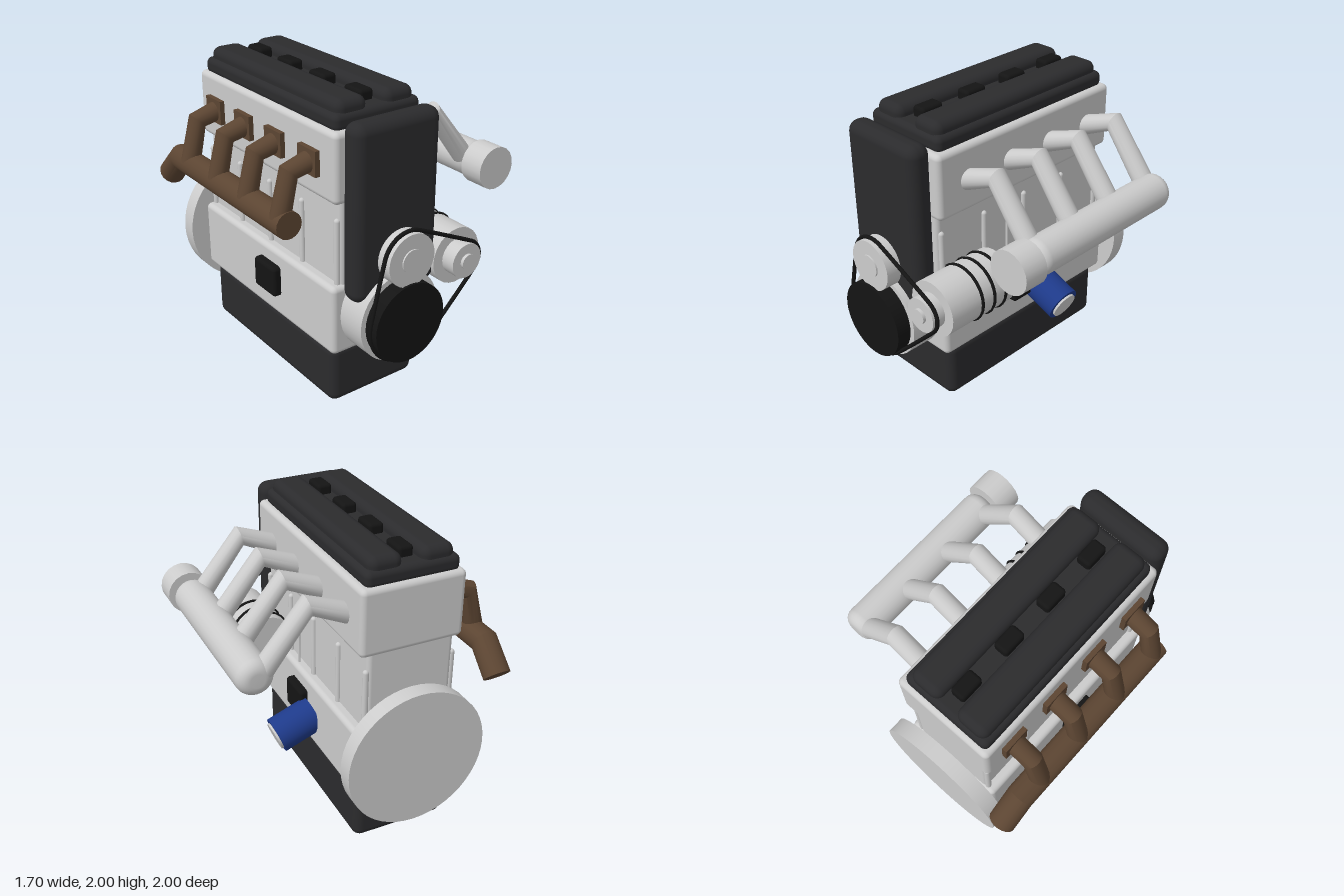
import * as THREE from 'three';
import { RoundedBoxGeometry } from 'three/addons/geometries/RoundedBoxGeometry.js';
import { toCreasedNormals } from 'three/addons/utils/BufferGeometryUtils.js';

const mat = (color) => new THREE.MeshStandardMaterial({ color });
const metal = mat(0xcccccc), dark = mat(0x2b2b2d), black = mat(0x141414);
const brown = mat(0x5c4532), blue = mat(0x1e3a8a);
const V = (x, y, z) => new THREE.Vector3(x, y, z);
const CX = -0.22; // centre line of the block
const CYLINDERS = [-0.61, -0.255, 0.1, 0.46];

export function createModel() {
  const model = new THREE.Group();
  model.name = 'engine';

  const add = (name, geometry, material, x = 0, y = 0, z = 0) => {
    const mesh = new THREE.Mesh(geometry, material);
    mesh.name = name;
    mesh.position.set(x, y, z);
    model.add(mesh);
    return mesh;
  };
  // Rounded box given by its limits on each axis
  const box = (name, [x0, x1], [y0, y1], [z0, z1], r, material) =>
    add(name, new RoundedBoxGeometry(x1 - x0, y1 - y0, z1 - z0, 3, r), material,
      (x0 + x1) / 2, (y0 + y1) / 2, (z0 + z1) / 2);
  // Disc or drum lying along z
  const drum = (name, x, y, r, z0, z1, material, sides = 32) =>
    add(name, new THREE.CylinderGeometry(r, r, z1 - z0, sides).rotateX(Math.PI / 2), material,
      x, y, (z0 + z1) / 2);
  // Capped pipe with mitred bends, following points in the plane normal to b
  const pipe = (name, points, r, b, material) => {
    const n = points.length - 1;
    const g = new THREE.CylinderGeometry(r, r, 1, 18, n);
    const pos = g.attributes.position;
    const frames = points.map((p, i) => {
      const t = V(0, 0, 0);
      if (i > 0) t.add(p.clone().sub(points[i - 1]).normalize());
      if (i < n) t.add(points[i + 1].clone().sub(p).normalize());
      return t.normalize().cross(b);
    });
    for (let i = 0; i < pos.count; i++) {
      const k = Math.round((pos.getY(i) + 0.5) * n);
      const v = points[k].clone().addScaledVector(frames[k], pos.getX(i)).addScaledVector(b, pos.getZ(i));
      pos.setXYZ(i, v.x, v.y, v.z);
    }
    return add(name, toCreasedNormals(g, 0.6), material);
  };

  // Block, head and covers
  box('sump', [-0.55, 0.11], [0, 0.41], [-0.78, 0.65], 0.06, dark);
  box('crankcase', [-0.58, 0.14], [0.4, 0.87], [-0.83, 0.7], 0.035, metal);
  box('upperBlock', [-0.51, 0.07], [0.8, 1.43], [-0.81, 0.68], 0.03, metal);
  box('cylinderHead', [-0.56, 0.13], [1.4, 1.84], [-0.83, 0.7], 0.035, metal);
  box('coverBase', [-0.53, 0.09], [1.82, 1.93], [-0.8, 0.66], 0.04, dark);
  for (const x of [-0.39, -0.05])
    box('camCover', [x - 0.11, x + 0.11], [1.86, 2], [-0.78, 0.64], 0.055, dark);
  for (const z of CYLINDERS)
    box('ignitionCoil', [CX - 0.05, CX + 0.05], [1.9, 1.995], [z - 0.082, z + 0.082], 0.022, black);
  box('timingCover', [-0.53, 0.09], [0.8, 1.92], [0.7, 0.86], 0.07, dark);

  // Side ribs and mounts, mirrored about the block
  for (const s of [-1, 1]) {
    for (let i = 0; i < 5; i++)
      add('blockRib', new THREE.CapsuleGeometry(0.02, 0.42, 4, 12), metal, CX + s * 0.293, 1.07, 0.65 - i * 0.36);
    const x = CX + s * 0.37;
    box('engineMount', [x - 0.045, x + 0.045], [0.56, 0.77], [-0.11, 0.13], 0.025, black);
  }

  // Flywheel and front drive
  drum('flywheel', CX, 0.665, 0.475, -0.95, -0.84, metal, 48);
  drum('crankHub', CX, 0.665, 0.11, -0.85, -0.8, metal);
  drum('crankSealHousing', -0.23, 0.665, 0.295, 0.68, 0.9, metal, 40);
  drum('crankPulley', -0.23, 0.665, 0.26, 0.89, 1, black, 40);
  drum('waterPump', CX, 1.075, 0.1, 0.84, 0.9, metal);
  drum('waterPumpPulley', CX, 1.075, 0.17, 0.88, 0.985, metal);
  drum('waterPumpBoss', CX, 1.075, 0.075, 0.98, 0.995, metal);

  // Alternator
  const [ax, ay] = [0.23, 0.925];
  drum('alternatorBody', ax, ay, 0.187, 0.36, 0.88, metal, 24);
  for (const z of [0.44, 0.535, 0.635])
    add('alternatorBand', new THREE.TorusGeometry(0.187, 0.011, 8, 32), black, ax, ay, z);
  drum('alternatorPulley', ax, ay, 0.115, 0.87, 0.975, metal);
  drum('alternatorBoss', ax, ay, 0.05, 0.97, 0.995, metal);

  // Belt: arcs around the pulleys joined by straight runs
  const belt = [];
  for (const [x, y, r, a0, a1] of [
    [ax, ay, 0.125, -44, 65], [CX, 1.075, 0.18, 65, 166], [-0.23, 0.665, 0.265, 166, 316]]) {
    for (let i = 0; i <= 12; i++) {
      const a = THREE.MathUtils.degToRad(a0 + (a1 - a0) * i / 12);
      belt.push(V(x + r * Math.cos(a), y + r * Math.sin(a), 0.95));
    }
  }
  add('driveBelt', new THREE.TubeGeometry(new THREE.CatmullRomCurve3(belt, true), 160, 0.013, 8, true), black);

  // Intake plenum with rounded ends, throttle body and runners
  const R = 0.12, c = 0.075, profile = [new THREE.Vector2(0, -0.61)];
  for (const [y, a0] of [[-0.61 + c, -90], [0.61 - c, 0]])
    for (let i = 0; i <= 6; i++) {
      const a = THREE.MathUtils.degToRad(a0 + i * 15);
      profile.push(new THREE.Vector2(R - c + c * Math.cos(a), y + c * Math.sin(a)));
    }
  profile.push(new THREE.Vector2(0, 0.61));
  add('intakePlenum', new THREE.LatheGeometry(profile, 24).rotateX(Math.PI / 2), metal, 0.705, 1.33, -0.07);
  drum('throttleBody', 0.705, 1.33, 0.143, 0.54, 0.71, metal, 20);
  const zAxis = V(0, 0, 1), xAxis = V(1, 0, 0);
  for (const z of CYLINDERS) {
    pipe('intakeRunner', [V(0.1, 1.602, z), V(0.365, 1.71, z), V(0.65, 1.35, z)], 0.068, zAxis, metal);
    // Exhaust branch with flange
    add('exhaustFlange', new THREE.BoxGeometry(0.035, 0.16, 0.18), brown, -0.575, 1.62, z);
    pipe('exhaustBranch', [V(-0.57, 1.615, z), V(-0.715, 1.577, z), V(-0.785, 1.29, z)], 0.065, zAxis, brown);
  }
  pipe('exhaustCollector', [V(-0.765, 1.28, 0.53), V(-0.765, 1.28, -0.77), V(-0.765, 1.12, -0.935)],
    0.088, xAxis, brown);

  // Oil filter, tilted down and outwards
  const filter = new THREE.Group();
  filter.name = 'oilFilter';
  for (const [name, r, len, y, m] of [['filterCan', 0.123, 0.29, 0.145, blue], ['filterCap', 0.095, 0.02, 0.295, metal]]) {
    const mesh = new THREE.Mesh(new THREE.CylinderGeometry(r, r, len, 32), m);
    mesh.name = name;
    mesh.position.y = y;
    filter.add(mesh);
  }
  filter.position.set(0.115, 0.61, -0.145);
  filter.rotation.z = THREE.MathUtils.degToRad(-111);
  model.add(filter);

  // Dipstick with looped handle
  add('dipstickTube', new THREE.CylinderGeometry(0.009, 0.009, 0.44, 10), metal, 0.1, 1.05, 0.11);
  add('dipstickHandle', new THREE.TubeGeometry(new THREE.CatmullRomCurve3(
    [V(0.1, 1.24, 0.11), V(0.1, 1.295, 0.1), V(0.1, 1.3, 0.05), V(0.1, 1.27, 0.03)]), 16, 0.011, 8), blue)
    .material.side = THREE.DoubleSide;

  return model;
}
